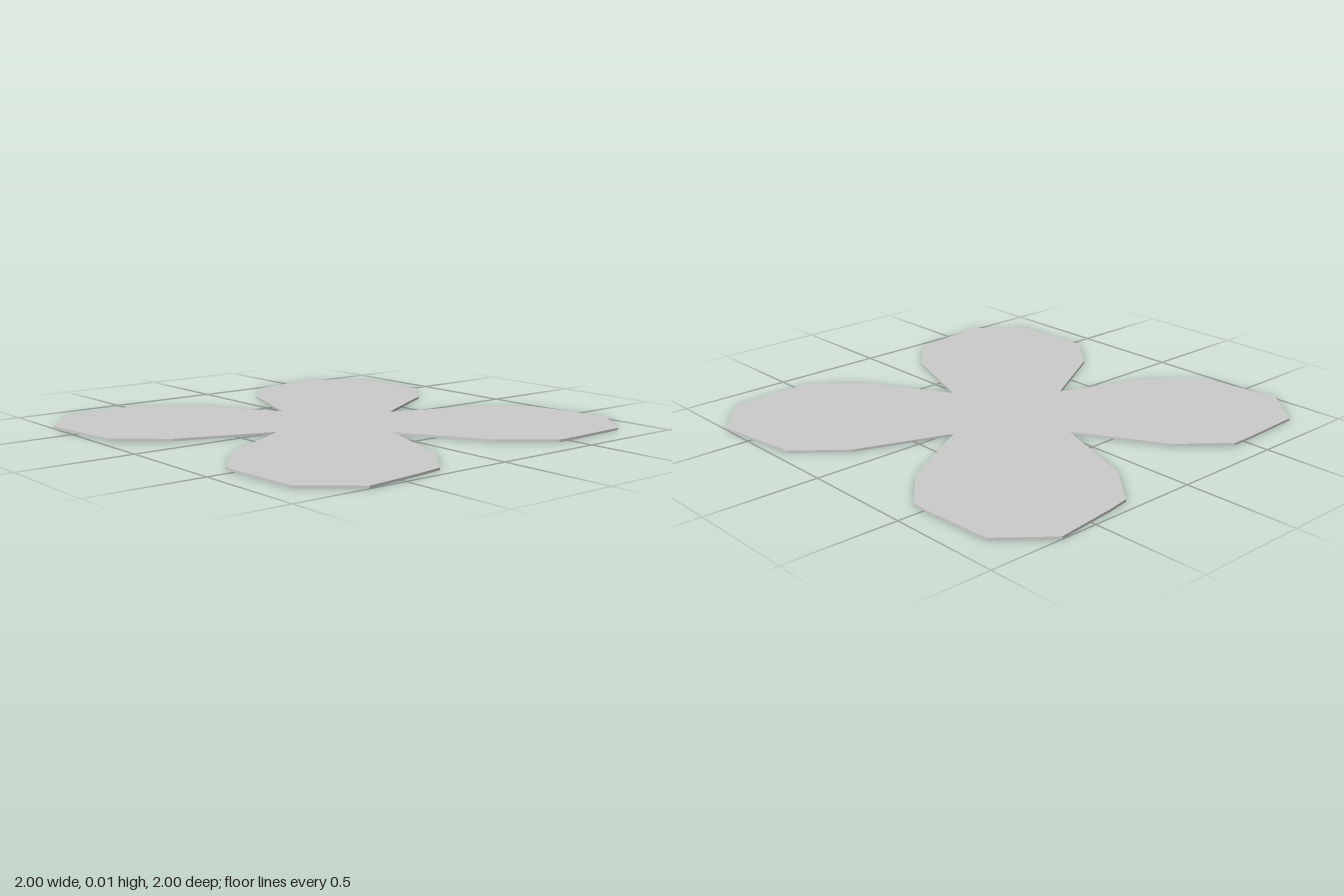
import * as THREE from 'three';

const THICKNESS = 0.01;
const PETAL_AXIS = THREE.MathUtils.degToRad(40);

// Half outline of one petal: distance along its axis, half width
const HALF_PETAL = [
  [0.241, 0.241],
  [0.651, 0.391],
  [0.905, 0.391],
  [0.983, 0.326],
  [1.194, 0.131],
];

export function createModel() {
  const group = new THREE.Group();
  group.name = 'flower';

  // Mirror the half outline; the last valley is the next petal's first
  const petal = [
    ...HALF_PETAL.map(([u, v]) => new THREE.Vector2(u, -v)),
    ...HALF_PETAL.slice(1).reverse().map(([u, v]) => new THREE.Vector2(u, v)),
  ];

  // Four petals turned around the centre
  const origin = new THREE.Vector2();
  const outline = [];
  for (let i = 0; i < 4; i++) {
    const angle = PETAL_AXIS + (i * Math.PI) / 2;
    for (const p of petal) outline.push(p.clone().rotateAround(origin, angle));
  }

  // Thin plate lying flat on the ground
  const geometry = new THREE.ExtrudeGeometry(new THREE.Shape(outline), {
    depth: THICKNESS,
    bevelEnabled: false,
  });
  geometry.rotateX(Math.PI / 2);
  geometry.translate(0, THICKNESS, 0);

  const material = new THREE.MeshStandardMaterial({ color: 0xcccccc, flatShading: true });
  const plate = new THREE.Mesh(geometry, material);
  plate.name = 'petalPlate';
  group.add(plate);
  return group;
}
